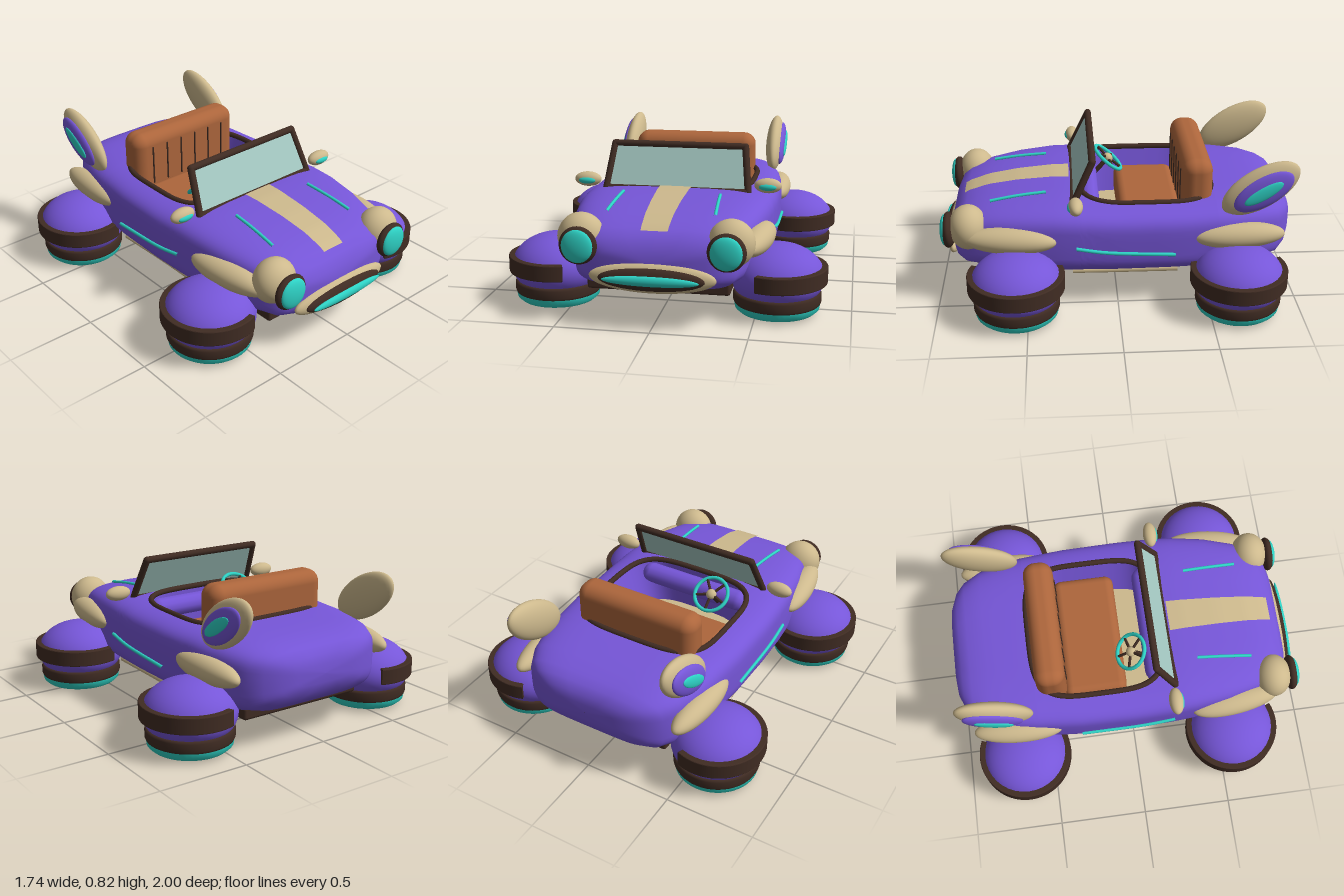
import * as THREE from 'three';
import { mergeVertices } from 'three/addons/utils/BufferGeometryUtils.js';
import { RoundedBoxGeometry } from 'three/addons/geometries/RoundedBoxGeometry.js';

const V = (x, y, z) => new THREE.Vector3(x, y, z);
const N = 4.5; // roundness of the body's cross-section

// Body sections: z, half width, bottom, top
const SECTIONS = [
  [-1, 0.001, 0.379, 0.381], [-0.997, 0.18, 0.33, 0.43], [-0.985, 0.27, 0.28, 0.48], [-0.95, 0.36, 0.235, 0.52],
  [-0.9, 0.42, 0.2, 0.54], [-0.8, 0.475, 0.18, 0.56], [-0.65, 0.515, 0.17, 0.57], [-0.55, 0.53, 0.17, 0.574],
  [-0.3, 0.55, 0.17, 0.575], [0, 0.555, 0.17, 0.575], [0.21, 0.55, 0.17, 0.582], [0.35, 0.54, 0.17, 0.583],
  [0.55, 0.51, 0.17, 0.567], [0.72, 0.465, 0.18, 0.54], [0.84, 0.42, 0.19, 0.5], [0.89, 0.36, 0.21, 0.465],
  [0.92, 0.27, 0.25, 0.41], [0.93, 0.1, 0.3, 0.36], [0.932, 0.001, 0.33, 0.331],
];
const COCKPIT = { z: -0.17, halfLength: 0.38, halfWidth: 0.4 };

function sectionAt(z) {
  let i = 0;
  while (i < SECTIONS.length - 2 && SECTIONS[i + 1][0] < z) i++;
  const a = SECTIONS[i], b = SECTIONS[i + 1], t = (z - a[0]) / (b[0] - a[0]);
  const [hw, lo, hi] = [1, 2, 3].map((k) => a[k] + (b[k] - a[k]) * t);
  return { hw, yc: (lo + hi) / 2, h: (hi - lo) / 2 };
}
const curveOf = (t) => Math.pow(Math.max(0, 1 - Math.pow(Math.abs(t), N)), 1 / N);
function topY(x, z) { const s = sectionAt(z); return s.yc + s.h * curveOf(x / s.hw); }
function sideX(y, z) { const s = sectionAt(z); return s.hw * curveOf((y - s.yc) / s.h); }
function openingAt(z) {
  const t = Math.abs(z - COCKPIT.z) / COCKPIT.halfLength;
  return t >= 1 ? 0 : COCKPIT.halfWidth * Math.pow(1 - t ** 4, 0.25);
}

// Surface through rows of points
function grid(rows) {
  const w = rows[0].length, index = [];
  for (let r = 0; r < rows.length - 1; r++) for (let c = 0; c < w - 1; c++) {
    const a = r * w + c, b = a + w;
    index.push(a, b, a + 1, b, b + 1, a + 1);
  }
  let g = new THREE.BufferGeometry().setFromPoints(rows.flat());
  g.setIndex(index);
  g = mergeVertices(g, 1e-5);
  g.computeVertexNormals();
  return g;
}

function bodyRows() {
  const zs = SECTIONS.map((s) => s[0]);
  zs.push(-0.545, -0.535, -0.52, -0.5, -0.46, -0.4, -0.2, -0.1, 0.06, 0.12, 0.16, 0.18, 0.195, 0.205);
  zs.push(0.28, 0.45, 0.64, 0.78, -0.6, -0.72, -0.85);
  return zs.sort((a, b) => a - b).map((z) => {
    const { hw, yc, h } = sectionAt(z), half = [], steps = 30;
    const end = Math.acos(Math.pow(openingAt(z) / hw, N / 2));
    for (let i = 0; i <= steps; i++) {
      const a = end + (-Math.PI / 2 - end) * (i / steps), s = Math.sin(a);
      const x = i === steps ? 0 : hw * Math.pow(Math.abs(Math.cos(a)), 2 / N);
      half.push(V(x < 1e-4 ? 0 : x, yc + h * Math.sign(s) * Math.pow(Math.abs(s), 2 / N), z));
    }
    return [...half, ...half.slice(0, -1).reverse().map((p) => V(-p.x, p.y, p.z))];
  });
}

export function createModel() {
  const car = new THREE.Group();
  car.name = 'hoverCar';
  const paint = (name, color) => { const m = new THREE.MeshStandardMaterial({ color }); m.name = name; return m; };
  const purple = paint('purple', 0x7656d8), tan = paint('tan', 0xcdb98d), dark = paint('darkBrown', 0x402c23);
  const teal = paint('turquoise', 0x2ed3c6), leather = paint('leather', 0xad663c), glass = paint('glass', 0xa6cac4);

  const add = (name, geo, mat, pos = [0, 0, 0], rot = [0, 0, 0], parent = car) => {
    const m = new THREE.Mesh(geo, mat);
    m.name = name;
    m.position.set(...pos);
    m.rotation.set(...rot);
    parent.add(m);
    return m;
  };
  const ball = (name, mat, pos, radii, rot, parent) =>
    add(name, new THREE.SphereGeometry(1, 36, 24), mat, pos, rot, parent).scale.set(...radii);
  const rod = (name, mat, a, b, r, parent) => {
    const d = b.clone().sub(a);
    const m = add(name, new THREE.CapsuleGeometry(r, d.length(), 4, 12), mat, a.clone().add(b).multiplyScalar(0.5).toArray(), [0, 0, 0], parent);
    m.quaternion.setFromUnitVectors(V(0, 1, 0), d.normalize());
  };
  const tube = (name, mat, pts, r, closed = false) =>
    add(name, new THREE.TubeGeometry(new THREE.CatmullRomCurve3(pts, closed), closed ? 96 : 24, r, 10, closed), mat);

  // Body shell and underside
  add('body', grid(bodyRows()), purple);
  add('chassis', new RoundedBoxGeometry(0.76, 0.07, 1.6, 2, 0.015), dark, [0, 0.175, -0.02]);

  // Cockpit tub, floor and rim
  const rim = [];
  for (let i = 0; i <= 64; i++) {
    const a = (i / 64) * Math.PI * 2, c = Math.cos(a), s = Math.sin(a);
    const x = COCKPIT.halfWidth * Math.sign(c) * Math.sqrt(Math.abs(c));
    const z = COCKPIT.z + COCKPIT.halfLength * Math.sign(s) * Math.sqrt(Math.abs(s));
    rim.push(V(x, topY(x, z), z));
  }
  const foot = rim.map((p) => V(p.x * 0.82, 0.3, p.z));
  add('cockpitWall', grid([rim, foot]), purple);
  add('cockpitFloor', grid([foot, foot.map(() => V(0, 0.3, COCKPIT.z))]), tan);
  tube('cockpitRim', dark, rim.slice(0, -1), 0.016, true);
  rod('dashboard', purple, V(-0.29, 0.5, 0.15), V(0.29, 0.5, 0.15), 0.06);

  // Bench seat
  add('seatCushion', new RoundedBoxGeometry(0.72, 0.17, 0.36, 4, 0.05), leather, [0, 0.385, -0.2]);
  add('seatBack', new RoundedBoxGeometry(0.74, 0.44, 0.17, 5, 0.07), leather, [0, 0.56, -0.45]);
  for (let i = 0; i < 6; i++) {
    const x = -0.26 + i * 0.104;
    rod('seatPleat', dark, V(x, 0.47, -0.364), V(x, 0.7, -0.364), 0.005);
  }

  // Steering wheel
  const wheel = new THREE.Group();
  wheel.name = 'steeringWheel';
  wheel.position.set(-0.185, 0.585, 0.02);
  wheel.rotation.x = -2.28;
  car.add(wheel);
  add('wheelRim', new THREE.TorusGeometry(0.1, 0.011, 10, 40), teal, [0, 0, 0], [0, 0, 0], wheel);
  for (let i = 0; i < 5; i++) {
    const a = (i / 5) * Math.PI * 2 + Math.PI / 2;
    rod('wheelSpoke', dark, V(0, 0, 0), V(Math.cos(a) * 0.095, Math.sin(a) * 0.095, 0), 0.008, wheel);
  }
  ball('wheelHub', tan, [0, 0, 0], [0.03, 0.03, 0.025], [0, 0, 0], wheel);
  rod('steeringColumn', dark, V(0, 0, 0), V(0, 0, -0.16), 0.014, wheel);

  // Windshield
  const screen = new THREE.Group();
  screen.name = 'windshield';
  screen.position.set(0, 0.565, 0.243);
  screen.rotation.x = -0.43;
  car.add(screen);
  const corners = [V(-0.405, 0, 0), V(-0.375, 0.262, 0), V(0.375, 0.262, 0), V(0.405, 0, 0)];
  corners.forEach((p, i) => rod('windshieldFrame', dark, p, corners[(i + 1) % 4], 0.02, screen));
  const pane = new THREE.Shape(corners.map((p) => new THREE.Vector2(p.x, p.y)));
  add('windshieldGlass', new THREE.ExtrudeGeometry(pane, { depth: 0.01, bevelEnabled: false }), glass, [0, 0, -0.005], [0, 0, 0], screen);

  // Hood stripe
  const stripe = [];
  for (let i = 0; i <= 20; i++) {
    const z = 0.26 + 0.6 * (i / 20), w = 0.09 - 0.02 * (i / 20);
    stripe.push([-1, -0.5, 0, 0.5, 1].map((t) => V(t * w, topY(t * w, z) + 0.009, z)));
  }
  add('hoodStripe', grid(stripe), tan);

  // Grille
  ball('grilleSurround', tan, [0, 0.265, 0.92], [0.33, 0.08, 0.05]);
  ball('grilleMouth', dark, [0, 0.265, 0.95], [0.275, 0.06, 0.035]);
  ball('grilleBar', teal, [0, 0.265, 0.98], [0.25, 0.027, 0.018]);

  // Hover pod shapes, outward side along +x
  const arc = new THREE.Shape();
  arc.absarc(0, 0, 0.26, -1.94, 1.94, false);
  arc.absarc(0, 0, 0.2, 1.94, -1.94, true);
  const guardGeo = new THREE.ExtrudeGeometry(arc, { depth: 0.08, bevelSize: 0.005, bevelThickness: 0.005, bevelSegments: 2, curveSegments: 48 });
  guardGeo.rotateX(-Math.PI / 2);
  const lathe = (...pts) => new THREE.LatheGeometry(pts.map((p) => new THREE.Vector2(...p)), 48);
  const padGeo = lathe([0, 0], [0.17, 0.002], [0.205, 0.012], [0.225, 0.03], [0.23, 0.058]);
  const skirtGeo = lathe([0.2, 0.05], [0.228, 0.054], [0.235, 0.07], [0.235, 0.11], [0.228, 0.124], [0.18, 0.13]);

  for (const s of [1, -1]) {
    // Hover pods and the tan fairings above them
    for (const [end, z] of [['front', 0.56], ['rear', -0.655]]) {
      const pod = new THREE.Group();
      pod.name = end + 'HoverPod';
      pod.position.set(s * 0.605, 0, z);
      pod.rotation.y = s > 0 ? 0 : Math.PI;
      car.add(pod);
      ball('podDome', purple, [0, 0.2, 0], [0.25, 0.175, 0.25], [0, 0, 0], pod);
      add('podNeck', new THREE.CylinderGeometry(0.235, 0.222, 0.07, 48), purple, [0, 0.15, 0], [0, 0, 0], pod);
      add('podGuard', guardGeo, dark, [0, 0.178, 0], [0, 0, 0], pod);
      add('podSkirt', skirtGeo, dark, [0, 0, 0], [0, 0, 0], pod);
      add('podThruster', padGeo, teal, [0, 0, 0], [0, 0, 0], pod);
    }
    ball('frontFairing', tan, [s * 0.5, 0.405, 0.59], [0.08, 0.072, 0.258], [0, -0.13 * s, 0]);
    ball('rearFairing', tan, [s * 0.505, 0.405, -0.665], [0.075, 0.072, 0.255], [0, 0.05 * s, 0]);

    // Headlights
    ball('headlightShell', tan, [s * 0.39, 0.44, 0.82], [0.122, 0.125, 0.105]);
    ball('headlightRim', dark, [s * 0.38, 0.42, 0.93], [0.1, 0.1, 0.04]);
    ball('headlightLens', teal, [s * 0.38, 0.42, 0.95], [0.083, 0.087, 0.027]);

    // Wing mirrors
    ball('mirrorShell', tan, [s * 0.515, 0.607, 0.23], [0.077, 0.042, 0.04]);
    ball('mirrorLens', teal, [s * 0.515, 0.604, 0.257], [0.05, 0.021, 0.018]);

    // Tail fins
    ball('tailFin', tan, [s * 0.465, 0.665, -0.775], [0.055, 0.115, 0.235], [0.55, 0, 0]);
    ball('tailFinPanel', purple, [s * 0.505, 0.662, -0.785], [0.03, 0.085, 0.18], [0.55, 0, 0]);
    ball('tailFinLight', teal, [s * 0.53, 0.662, -0.78], [0.012, 0.036, 0.118], [0.55, 0, 0]);

    // Trim lines
    const onSide = (y, z, out) => V(s * (sideX(y, z) + out), y, z);
    tube('sideTrim', teal, [onSide(0.37, 0.23, 0.005), onSide(0.345, 0.07, 0.005), onSide(0.32, -0.31, 0.005)], 0.01);
    tube('sill', tan, [onSide(0.2, 0.25, 0.012), onSide(0.196, 0, 0.012), onSide(0.206, -0.33, 0.012)], 0.017);
    const hood = [0.39, 0.5, 0.6, 0.7].map((z, i) => V(s * (0.27 + i * 0.006), topY(0.275, z) + 0.005, z));
    tube('hoodTrim', teal, hood, 0.009);
  }
  return car;
}
